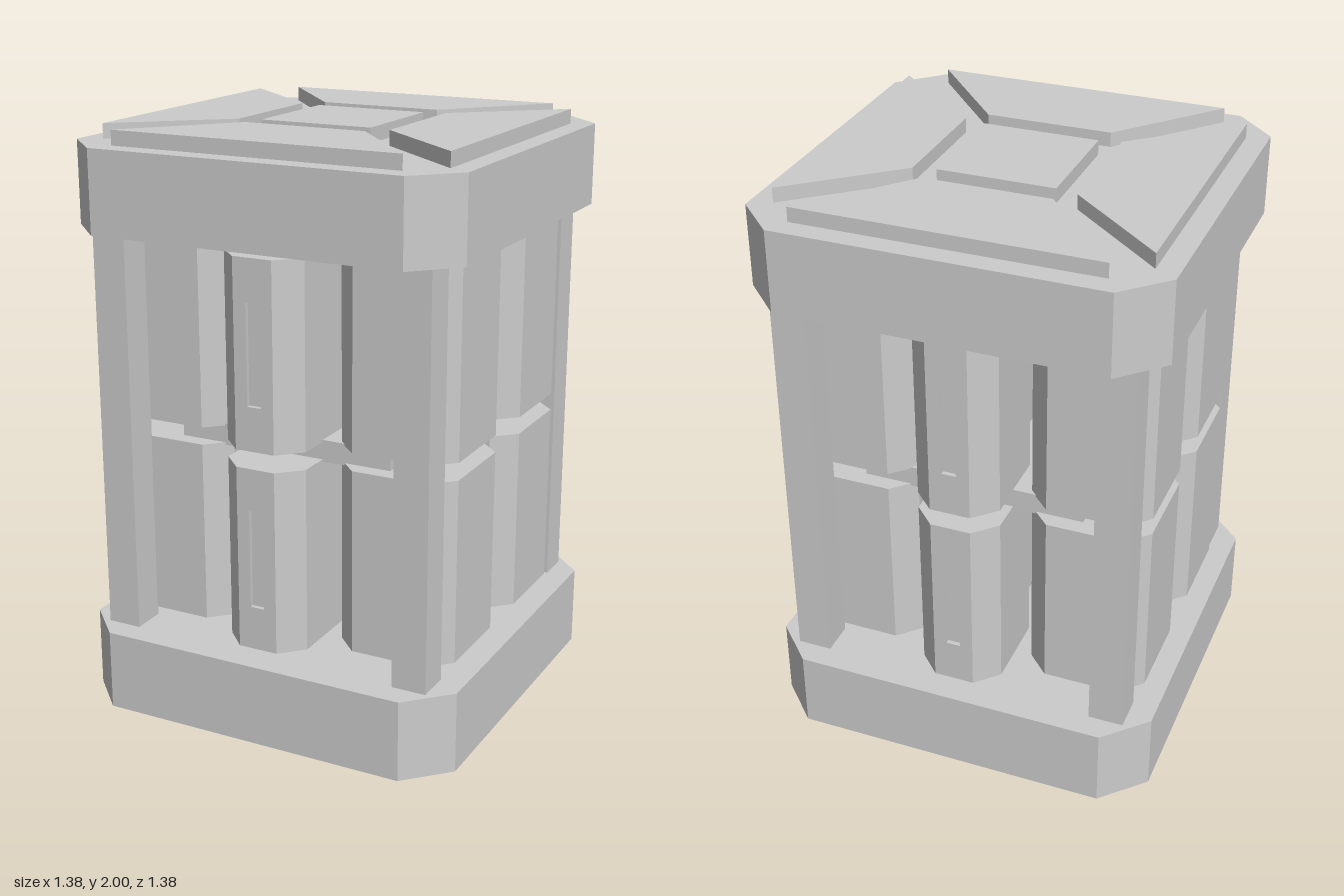
import * as THREE from 'three';

const material = new THREE.MeshStandardMaterial({ color: 0xcccccc, flatShading: true });

function add(parent, name, geometry) {
  const mesh = new THREE.Mesh(geometry, material);
  mesh.name = name;
  parent.add(mesh);
  return mesh;
}

// Upright prism from an outline of [x, z] points
function prism(points, y0, y1) {
  const shape = new THREE.Shape(points.map(([x, z]) => new THREE.Vector2(x, -z)));
  const g = new THREE.ExtrudeGeometry(shape, { depth: y1 - y0, bevelEnabled: false });
  return g.rotateX(-Math.PI / 2).translate(0, y0, 0);
}

// Rectangle outline with cut corners; c is the cut
function cutRect(x0, x1, z0, z1, c) {
  return [[x0 + c, z0], [x1 - c, z0], [x1, z0 + c], [x1, z1 - c],
    [x1 - c, z1], [x0 + c, z1], [x0, z1 - c], [x0, z0 + c]];
}

function box(x, y0, y1, z, w, d) {
  return new THREE.BoxGeometry(w, y1 - y0, d).translate(x, (y0 + y1) / 2, z);
}

// Front layer of a slotted cell: slot cut through, sides sloped to carry on the cut corners
function slottedFace(y0, y1) {
  const half = 0.07, t = 0.015;
  const rect = (T, w, a, b) => new T([[-w, a], [w, a], [w, b], [-w, b]].map(p => new THREE.Vector2(...p)));
  const shape = rect(THREE.Shape, half, y0, y1);
  shape.holes.push(rect(THREE.Path, 0.025, y0 + 0.15, y1 - 0.145));
  const g = new THREE.ExtrudeGeometry(shape, { depth: t, bevelEnabled: false });
  const p = g.attributes.position;
  for (let i = 0; i < p.count; i++) {
    const x = p.getX(i);
    if (Math.abs(x) > 0.05 && p.getZ(i) < t / 2) p.setX(i, x + Math.sign(x) * t);
  }
  g.computeVertexNormals();
  return g.translate(0, 0, 0.605);
}

export function createModel() {
  const model = new THREE.Group();
  model.name = 'cellRack';

  // Base and cap
  const slab = cutRect(-0.69, 0.69, -0.69, 0.69, 0.14);
  add(model, 'base', prism(slab, 0, 0.28));
  add(model, 'cap', prism(slab, 1.67, 1.95));

  // Raised panels on the cap
  add(model, 'capCentrePanel', box(0, 1.95, 2, 0, 0.4, 0.4));
  for (let i = 0; i < 4; i++) {
    const panel = prism([[-0.51, 0.615], [0.51, 0.615], [0.217, 0.275], [-0.217, 0.275]], 1.95, 2);
    add(model, 'capSidePanel', panel).rotation.y = i * Math.PI / 2;
  }

  // Corner posts, central column and middle shelf
  for (const x of [-0.545, 0.545]) {
    for (const z of [-0.545, 0.545]) add(model, 'cornerPost', box(x, 0.28, 1.67, z, 0.12, 0.12));
  }
  add(model, 'centralColumn', box(0, 0.28, 1.67, 0, 0.1, 0.1));
  add(model, 'middleShelf', box(0, 0.937, 1.012, 0, 0.78, 0.86));

  // Two levels of cells, each half turned to make the other
  for (const [y0, y1] of [[0.31, 0.945], [1.005, 1.64]]) {
    for (const turn of [0, Math.PI]) {
      const half = new THREE.Group();
      half.name = 'cellSet';
      half.rotation.y = turn;
      for (const side of [-1, 1]) {
        const [a, b] = side > 0 ? [0.205, 0.62] : [-0.62, -0.205];
        add(half, 'sideCell', prism(cutRect(a, b, 0.03, 0.487, 0.077), y0, y1));
      }
      const core = [[-0.07, 0.2], [0.07, 0.2], [0.145, 0.275], [0.145, 0.545],
        [0.085, 0.605], [-0.085, 0.605], [-0.145, 0.545], [-0.145, 0.275]];
      add(half, 'slottedCell', prism(core, y0, y1));
      add(half, 'slottedCellFace', slottedFace(y0, y1));
      model.add(half);
    }
  }
  return model;
}
